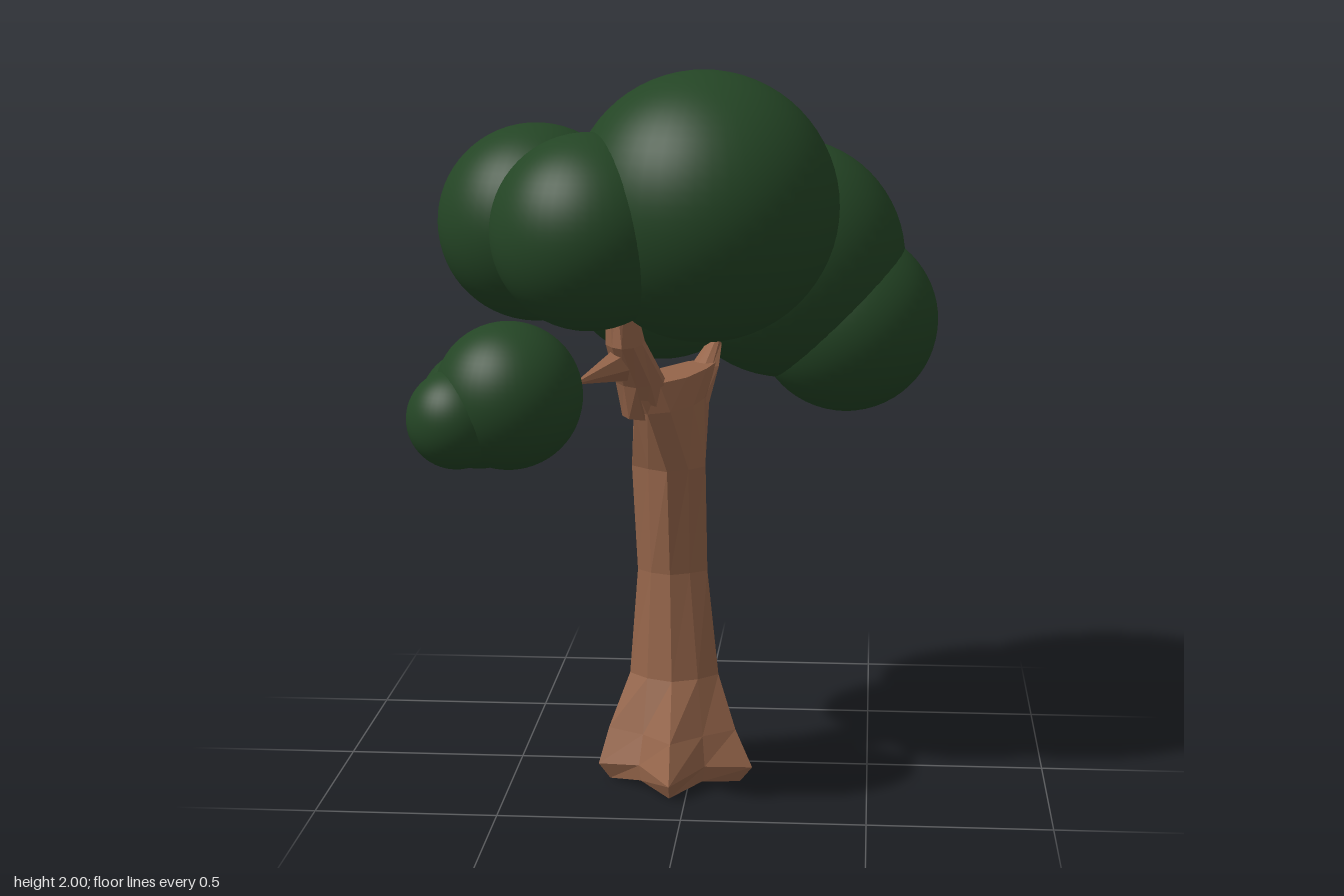
import * as THREE from 'three';

const SIDES = 10;

// Faceted loft through horizontal rings [y, cx, cz, rx, rz, lobe depth, x-skew along z]
function loft(rings) {
  const pts = rings.map(([y, cx, cz, rx, rz, lobe = 0, skew = 0], k) =>
    Array.from({ length: SIDES }, (_, i) => {
      const a = ((i + 0.5) / SIDES) * Math.PI * 2;
      const r = (i % 2 ? 1 - lobe : 1.04) * (1 + 0.04 * Math.sin(i * 2.7 + k * 1.9));
      const dz = Math.sin(a) * rz * r;
      const lift = lobe > 0.2 ? (i % 2 ? 0.02 : 0) : 0;
      return new THREE.Vector3(cx + Math.cos(a) * rx * r + skew * dz, y + lift, cz + dz);
    }));
  const tri = [];
  const centre = (ring) => ring.reduce((s, p) => s.add(p), new THREE.Vector3()).divideScalar(SIDES);
  const bottom = centre(pts[0]), last = pts[pts.length - 1], top = centre(last);
  for (let i = 0; i < SIDES; i++) {
    const n = (i + 1) % SIDES;
    for (let k = 0; k < pts.length - 1; k++) {
      const a = pts[k], b = pts[k + 1];
      tri.push(a[i], b[i], a[n], a[n], b[i], b[n]);
    }
    tri.push(bottom, pts[0][i], pts[0][n], top, last[n], last[i]);
  }
  const geo = new THREE.BufferGeometry().setFromPoints(tri);
  geo.computeVertexNormals(); // unshared corners keep the facets flat
  return geo;
}

export function createModel() {
  const bark = new THREE.MeshStandardMaterial({ color: 0x95654a });
  bark.name = 'barkBrown';
  const leaf = new THREE.MeshStandardMaterial({ color: 0x244525 });
  leaf.name = 'leafGreen';

  const tree = new THREE.Group();
  tree.name = 'tree';
  const add = (name, geo, mat) => {
    const mesh = new THREE.Mesh(geo, mat);
    mesh.name = name;
    tree.add(mesh);
    return mesh;
  };

  // Trunk: lobed roots, narrow waist, stretched front to back at the fork
  add('trunk', loft([
    [0.005, -0.045, 0.1, 0.19, 0.23, 0.25],
    [0.05, -0.043, 0.1, 0.215, 0.25, 0.25],
    [0.15, -0.045, 0.09, 0.18, 0.2, 0.2],
    [0.3, -0.048, 0.075, 0.13, 0.125, 0.1],
    [0.6, -0.055, 0.08, 0.098, 0.083, 0.04],
    [0.9, -0.06, 0.078, 0.102, 0.112, 0.04],
    [1.07, -0.06, 0.05, 0.085, 0.195, 0.04, -0.25],
    [1.15, -0.055, 0.035, 0.07, 0.235, 0.04, -0.35],
  ]), bark);

  // Fork limbs reaching into the crown
  add('frontLimb', loft([
    [1.05, -0.12, 0.13, 0.07, 0.1],
    [1.15, -0.135, 0.165, 0.065, 0.115],
    [1.27, -0.165, 0.26, 0.05, 0.11],
    [1.42, -0.18, 0.29, 0.035, 0.07],
  ]), bark);
  add('backLimb', loft([
    [1.05, -0.01, -0.07, 0.05, 0.07],
    [1.14, 0.02, -0.16, 0.04, 0.055],
    [1.2, 0.045, -0.24, 0.02, 0.04],
    [1.3, 0.07, -0.3, 0.015, 0.03],
  ]), bark);

  // Tapered twig pointing at the small leaf cluster
  const from = new THREE.Vector3(-0.17, 1.215, 0.27);
  const to = new THREE.Vector3(-0.275, 1.205, 0.55);
  const dir = to.clone().sub(from);
  const twig = add('twig', new THREE.ConeGeometry(0.05, dir.length(), 6).toNonIndexed(), bark);
  twig.geometry.computeVertexNormals();
  twig.position.copy(from).add(to).multiplyScalar(0.5);
  twig.quaternion.setFromUnitVectors(new THREE.Vector3(0, 1, 0), dir.normalize());

  // Foliage balls: name, x, y, z, radius
  const balls = [
    ['crownTop', 0.043, 1.636, 0.225, 0.364],
    ['crownBack', 0.238, 1.418, -0.427, 0.353],
    ['crownBackLow', 0.42, 1.235, -0.427, 0.271],
    ['crownBackInner', -0.115, 1.425, -0.31, 0.291],
    ['crownSide', -0.425, 1.578, 0.107, 0.271],
    ['crownFront', -0.256, 1.578, 0.335, 0.263],
    ['clusterLarge', -0.439, 1.18, 0.579, 0.193],
    ['clusterSmall', -0.565, 1.128, 0.64, 0.13],
    ['clusterBack', -0.533, 1.125, 0.472, 0.16],
  ];
  for (const [name, x, y, z, r] of balls) {
    add(name, new THREE.SphereGeometry(r, 48, 32), leaf).position.set(x, y, z);
  }
  return tree;
}
